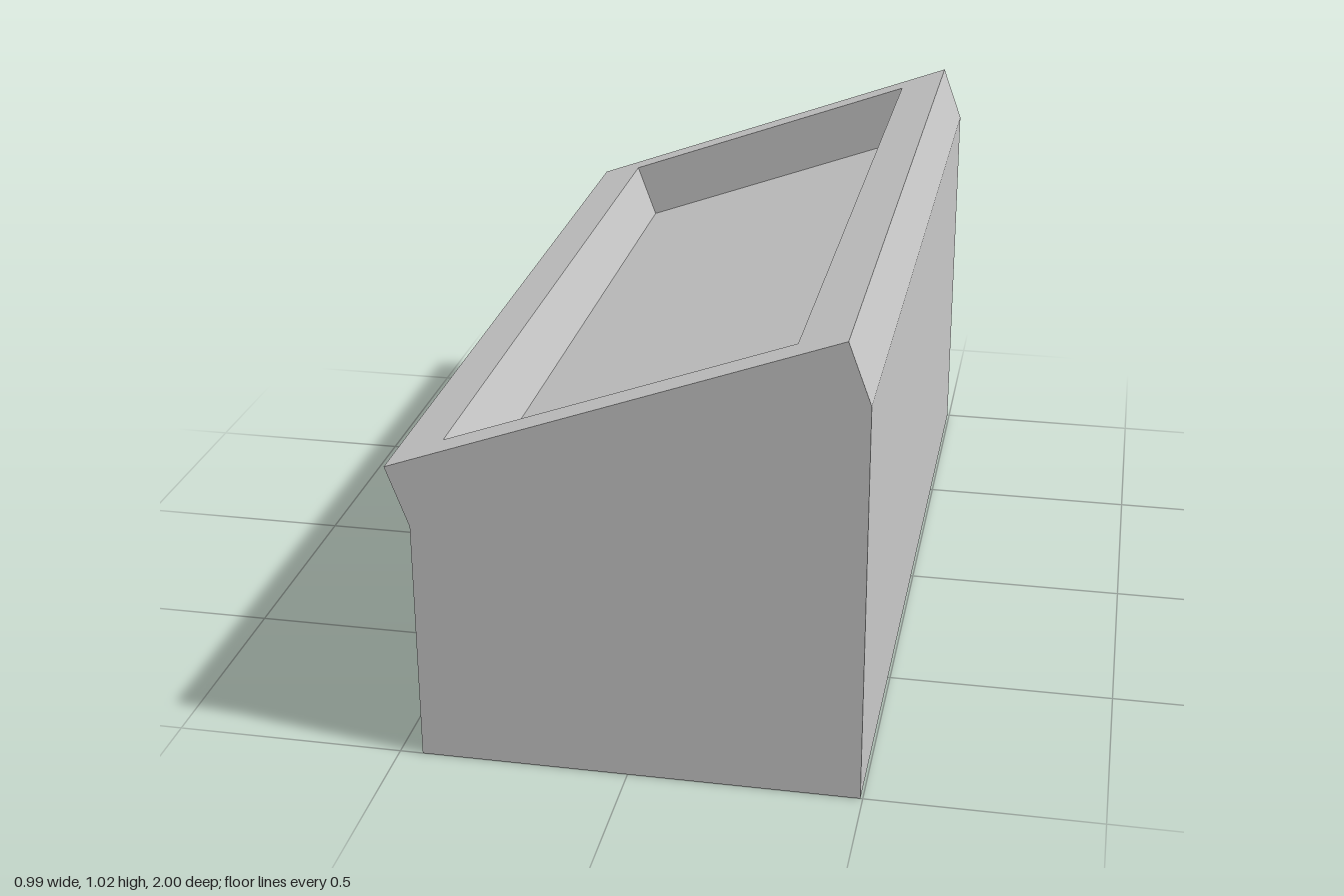
import * as THREE from 'three';

const LENGTH = 2;
const LEFT = -0.45, RIGHT = 0.495;      // body sides
const LOW = 0.543, HIGH = 0.888;        // heights of the sloping top
const COLLAR = 0.14;                    // collar height, square to the slope
const RIM = 0.114, END_RIM = 0.068;     // rim widths

const polygon = (PathType, pts) => new PathType(pts.map(([x, y]) => new THREE.Vector2(x, y)));
const rect = (x0, y0, x1, y1) => [[x0, y0], [x1, y0], [x1, y1], [x0, y1]];

export function createModel() {
  const model = new THREE.Group();
  model.name = 'slopedPlanter';
  const grey = new THREE.MeshStandardMaterial({ color: 0xc8c8c8 });
  grey.name = 'light grey';

  // Wedge-topped body; its top is also the floor of the recess
  const profile = polygon(THREE.Shape, [[LEFT, 0], [RIGHT, 0], [RIGHT, HIGH], [LEFT, LOW]]);
  const bodyGeo = new THREE.ExtrudeGeometry(profile, { depth: LENGTH, bevelEnabled: false });
  bodyGeo.translate(0, 0, -LENGTH / 2);
  const body = new THREE.Mesh(bodyGeo, grey);
  body.name = 'body';
  model.add(body);

  // Rectangular collar standing square on the slope
  const slope = Math.atan2(HIGH - LOW, RIGHT - LEFT);
  const run = Math.hypot(HIGH - LOW, RIGHT - LEFT);
  const half = LENGTH / 2;
  const frame = polygon(THREE.Shape, rect(0, -half, run, half));
  frame.holes.push(polygon(THREE.Path, rect(RIM, -half + END_RIM, run - RIM, half - END_RIM)));
  const collarGeo = new THREE.ExtrudeGeometry(frame, { depth: COLLAR, bevelEnabled: false });
  collarGeo.rotateX(-Math.PI / 2).rotateZ(slope).translate(LEFT, LOW, 0);
  const collar = new THREE.Mesh(collarGeo, grey);
  collar.name = 'collar';
  model.add(collar);

  return model;
}
